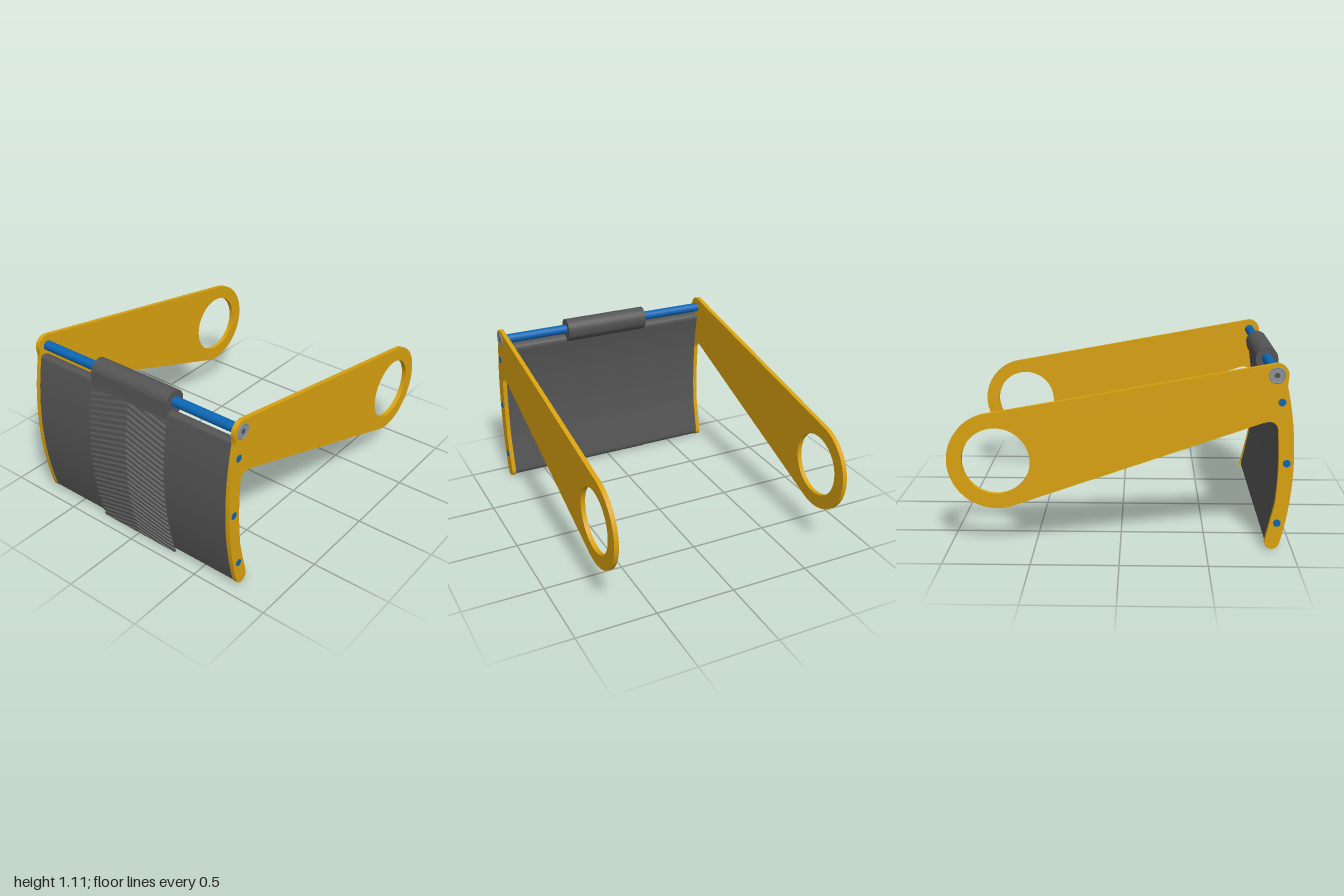
import * as THREE from 'three';
import { toCreasedNormals } from 'three/addons/utils/BufferGeometryUtils.js';

const deg = Math.PI / 180;
const MID = 0.527, ARC_Z = -0.94;      // centre of the large front curve (y, z)
const PIVOT_Z = 0.873, PIVOT_Y = 1.04;

const mat = (color) => new THREE.MeshStandardMaterial({ color, side: THREE.DoubleSide });

// Extrudes a (z, y) outline along x, centred on x = 0
function extrudeX(shape, width) {
  const g = new THREE.ExtrudeGeometry(shape, { depth: width, bevelEnabled: false, curveSegments: 40 });
  g.translate(0, 0, -width / 2);
  g.rotateY(-Math.PI / 2);
  return toCreasedNormals(g, 30 * deg);
}

// Cylinder lying along x
function rodX(radius, length) {
  return new THREE.CylinderGeometry(radius, radius, length, 32).rotateZ(Math.PI / 2);
}

// Arm with a large ring at the back and a curved jaw at the front
function plateShape() {
  const s = new THREE.Shape();
  s.absarc(PIVOT_Z, PIVOT_Y, 0.067, -15 * deg, 100.45 * deg, false);
  s.absarc(-0.715, MID, 0.284, 100.45 * deg, 289.5 * deg, false);
  s.lineTo(0.80, 0.763);
  s.quadraticCurveTo(0.893, 0.796, 0.894, 0.70);
  s.quadraticCurveTo(0.912, 0.49, 0.89, 0.28);
  s.lineTo(0.841, 0.06);
  s.absarc(0.882, 0.046, 0.042, 165 * deg, 345 * deg, false);
  s.absarc(ARC_Z, MID, 1.928, -14.4 * deg, 13.5 * deg, false);
  const hole = new THREE.Path();
  hole.absarc(-0.715, MID, 0.197, 0, Math.PI * 2, true);
  s.holes.push(hole);
  return s;
}

// Curved panel section; grow thickens the front and bottom
function panelShape(grow) {
  const s = new THREE.Shape();
  s.absarc(ARC_Z, MID, 1.925 + grow, -14.5 * deg, 13.7 * deg, false);
  s.quadraticCurveTo(0.925, 0.992, 0.905, 0.992);
  s.quadraticCurveTo(0.86, 0.99, 0.863, 0.95);
  s.quadraticCurveTo(0.89, 0.82, 0.897, 0.70);
  s.quadraticCurveTo(0.914, 0.49, 0.893, 0.28);
  s.lineTo(0.848, 0.06);
  s.quadraticCurveTo(0.84, 0.012 - grow, 0.885, 0.011 - grow);
  s.quadraticCurveTo(0.915, 0.011 - grow, 0.924, 0.044);
  return s;
}

// Loop around the top rod, running down into the panel
function sleeveShape() {
  const s = new THREE.Shape();
  s.absarc(PIVOT_Z, PIVOT_Y, 0.067, 0, Math.PI, false);
  s.lineTo(0.812, 1.0);
  s.quadraticCurveTo(0.83, 0.965, 0.865, 0.95);
  s.lineTo(0.951, 0.955);
  s.lineTo(PIVOT_Z + 0.067, PIVOT_Y);
  return s;
}

// Chevron ribs laid over the curved front of the centre strip
function ribGeometry(halfWidth, top) {
  const slope = 0.26, pitch = 0.037, base = 1.927;
  const profile = [[0, 0], [0.007, 0.013], [0.023, 0.013], [0.030, 0]];
  const xs = [-halfWidth];
  for (let i = -12; i <= 12; i++) xs.push((i / 12) * halfWidth);
  xs.push(halfWidth);
  const pos = [], index = [], cols = xs.length;
  let rows = 0;
  for (let u = 0; u < top + slope * halfWidth + pitch; u += pitch) {
    for (const [du, h] of profile) {
      xs.forEach((x, c) => {
        const y = THREE.MathUtils.clamp(u + du - slope * Math.abs(x), 0, top);
        const r = base + (c === 0 || c === cols - 1 ? 0 : h);   // outer columns close the sides
        pos.push(x, y, ARC_Z + Math.sqrt(r * r - (y - MID) ** 2));
      });
      rows++;
    }
  }
  for (let r = 0; r < rows - 1; r++) {
    for (let c = 0; c < cols - 1; c++) {
      const a = r * cols + c, b = a + 1, d = a + cols, e = d + 1;
      index.push(a, b, d, b, e, d);
    }
  }
  const g = new THREE.BufferGeometry();
  g.setAttribute('position', new THREE.Float32BufferAttribute(pos, 3));
  g.setIndex(index);
  const flat = g.toNonIndexed();
  flat.computeVertexNormals();
  return flat;
}

export function createModel() {
  const group = new THREE.Group();
  const yellow = mat(0xd9a20f), blue = mat(0x0b66b5), dark = mat(0x555555), steel = mat(0x8a929a);

  const add = (name, geometry, material, x = 0, y = 0, z = 0) => {
    const mesh = new THREE.Mesh(geometry, material);
    mesh.name = name;
    mesh.position.set(x, y, z);
    group.add(mesh);
    return mesh;
  };

  // Side plates and pivot bolts
  const plate = extrudeX(plateShape(), 0.028);
  for (const side of [1, -1]) {
    const label = side > 0 ? 'left' : 'right';
    add(label + 'SidePlate', plate, yellow, side * 0.739, 0, 0);
    add(label + 'BoltHead', rodX(0.048, 0.006), steel, side * 0.752, PIVOT_Y, PIVOT_Z);
    add(label + 'BoltRim', new THREE.TorusGeometry(0.043, 0.005, 8, 32).rotateY(Math.PI / 2),
      steel, side * 0.753, PIVOT_Y, PIVOT_Z);
    add(label + 'BoltSocket', new THREE.CylinderGeometry(0.017, 0.017, 0.004, 6).rotateZ(Math.PI / 2),
      dark, side * 0.7545, PIVOT_Y, PIVOT_Z);
  }

  // Top rod and the three cross rods whose ends show in the plates
  add('topRod', rodX(0.03, 1.46), blue, 0, PIVOT_Y, PIVOT_Z);
  for (const [y, z] of [[0.165, 0.907], [MID, 0.948], [0.885, 0.907]]) {
    add('crossRod', rodX(0.022, 1.51), blue, 0, y, z);
  }

  // Curved panel with ribbed centre strip and sleeve
  add('panel', extrudeX(panelShape(0), 1.452), dark);
  add('stripCore', extrudeX(panelShape(0.003), 0.574), dark);
  add('chevronRibs', ribGeometry(0.287, 0.96), dark);
  add('sleeve', extrudeX(sleeveShape(), 0.574), dark);

  return group;
}
